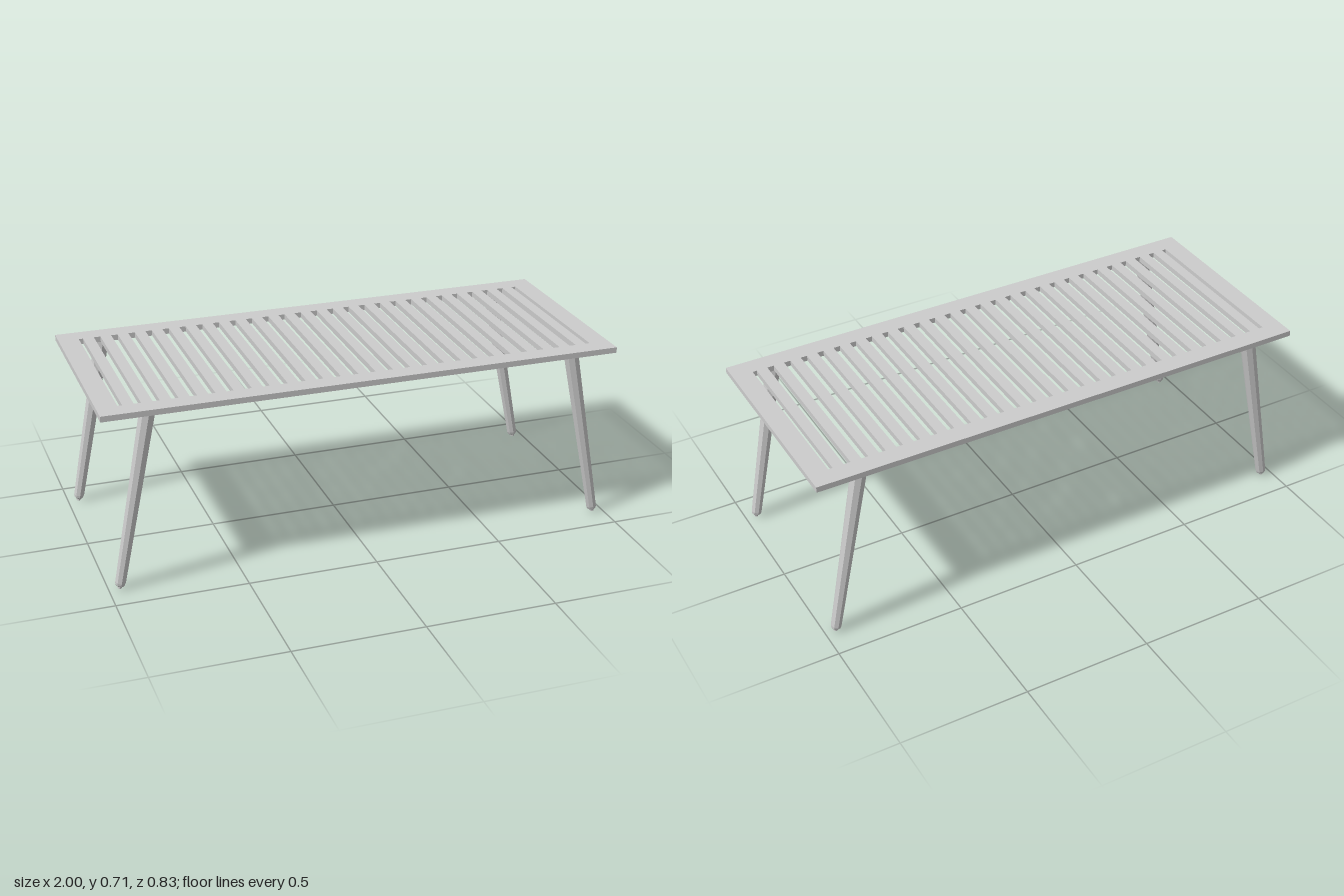
import * as THREE from 'three';

const TOP = 0.707, THICK = 0.022;
const OUTER_X = 1, OUTER_Z = 0.415, INNER_X = 0.922, INNER_Z = 0.341;

export function createModel() {
  const model = new THREE.Group();
  model.name = 'slattedTable';
  const wood = new THREE.MeshStandardMaterial({ color: 0xcccccc, flatShading: true });

  const add = (geometry, name, parent = model) => {
    const mesh = new THREE.Mesh(geometry, wood);
    mesh.name = name;
    parent.add(mesh);
    return mesh;
  };

  // Rectangular frame of the table top
  const rect = (C, x, z) =>
    new C([[-x, -z], [x, -z], [x, z], [-x, z]].map(p => new THREE.Vector2(...p)));
  const outline = rect(THREE.Shape, OUTER_X, OUTER_Z);
  outline.holes.push(rect(THREE.Path, INNER_X, INNER_Z));
  const frame = new THREE.ExtrudeGeometry(outline, { depth: THICK, bevelEnabled: false });
  frame.rotateX(-Math.PI / 2).translate(0, TOP - THICK, 0);
  add(frame, 'topFrame');

  // Evenly spaced cross slats
  const slats = new THREE.Group();
  slats.name = 'slats';
  model.add(slats);
  const slat = new THREE.BoxGeometry(0.042, THICK, INNER_Z * 2);
  const count = 27, pitch = 0.068;
  for (let i = 0; i < count; i++) {
    add(slat, 'slat', slats).position.set((i - (count - 1) / 2) * pitch, TOP - THICK / 2, 0);
  }

  // Tapered eight-sided legs with a rounded end and a small foot, splayed outwards
  const foot = new THREE.Vector3(0.959, 0.002, 0.38);
  const head = new THREE.Vector3(0.824, 0.694, 0.38);
  const axis = head.clone().sub(foot);
  const length = axis.length();
  const profile = [
    [0, 0], [0.008, 0], [0.008, 0.008], [0.013, 0.009], [0.018, 0.014],
    [0.0205, 0.024], [0.03, length], [0, length],
  ].map(p => new THREE.Vector2(...p));
  const leg = new THREE.LatheGeometry(profile, 8);
  for (const sx of [1, -1]) {
    for (const sz of [1, -1]) {
      const mesh = add(leg, (sz > 0 ? 'front' : 'back') + (sx > 0 ? 'Left' : 'Right') + 'Leg');
      mesh.position.set(foot.x * sx, foot.y, foot.z * sz);
      mesh.rotation.z = Math.atan2(-axis.x, axis.y) * sx;
    }
  }
  return model;
}
